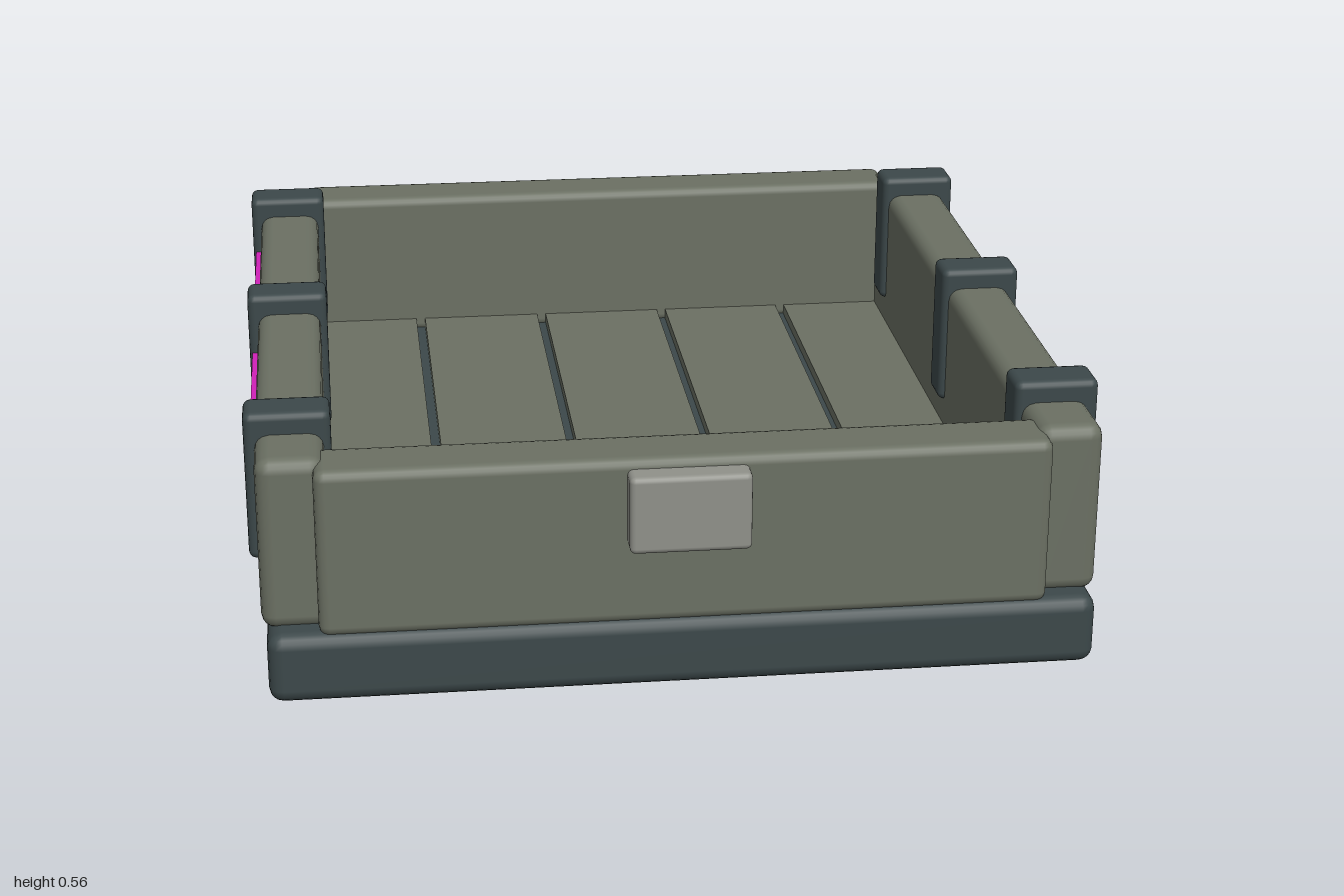
import * as THREE from 'three';
import { RoundedBoxGeometry } from 'three/addons/geometries/RoundedBoxGeometry.js';

const material = (name, color) => {
  const m = new THREE.MeshStandardMaterial({ color });
  m.name = name;
  return m;
};

export function createModel() {
  const model = new THREE.Group();
  model.name = 'cargoTray';

  const olive = material('olive panel', 0x6b7063);
  const slate = material('dark slate', 0x3c484a);
  const grey = material('latch grey', 0x90918a);
  const magenta = material('magenta stripe', 0xd021b8);

  // Box with softened edges, given by its extents on each axis
  function block(name, mat, [x0, x1], [y0, y1], [z0, z1], radius) {
    const w = x1 - x0, h = y1 - y0, d = z1 - z0;
    const geometry = radius
      ? new RoundedBoxGeometry(w, h, d, 2, radius)
      : new THREE.BoxGeometry(w, h, d);
    const mesh = new THREE.Mesh(geometry, mat);
    mesh.name = name;
    mesh.position.set((x0 + x1) / 2, (y0 + y1) / 2, (z0 + z1) / 2);
    model.add(mesh);
  }

  // Extents mirrored to the chosen side of an axis
  const side = (s, a, b) => (s > 0 ? [a, b] : [-b, -a]);

  // Base slab
  block('base', slate, [-0.85, 0.85], [0, 0.15], [-0.96, 0.96], 0.03);

  // Floor planks, with the dark base showing in the gaps
  for (let i = -2; i <= 2; i++) {
    const x = i * 0.312;
    block('floorPlank', olive, [x - 0.145, x + 0.145], [0.13, 0.175], [-0.83, 0.83]);
  }

  for (const s of [1, -1]) {
    // Long side walls and the shorter end walls
    block('sideWall', olive, side(s, 0.72, 0.86), [0.14, 0.51], [-0.905, 0.905], 0.03);
    block('endWall', olive, [-0.745, 0.745], [0.14, 0.5], side(s, 0.81, 0.95), 0.022);

    // Clamps over each side wall
    for (const z of [-0.713, 0, 0.713]) {
      block('clamp', slate, side(s, 0.705, 0.882), [0.235, 0.555], [z - 0.05, z + 0.05], 0.016);
    }

    // Bright rail running between the clamps
    block('sideStripe', magenta, side(s, 0.85, 0.876), [0.303, 0.42], [-0.69, 0.69]);

    // Latch on each end wall
    block('latch', grey, [-0.123, 0.123], [0.315, 0.48], side(s, 0.93, 1), 0.012);
  }

  return model;
}
